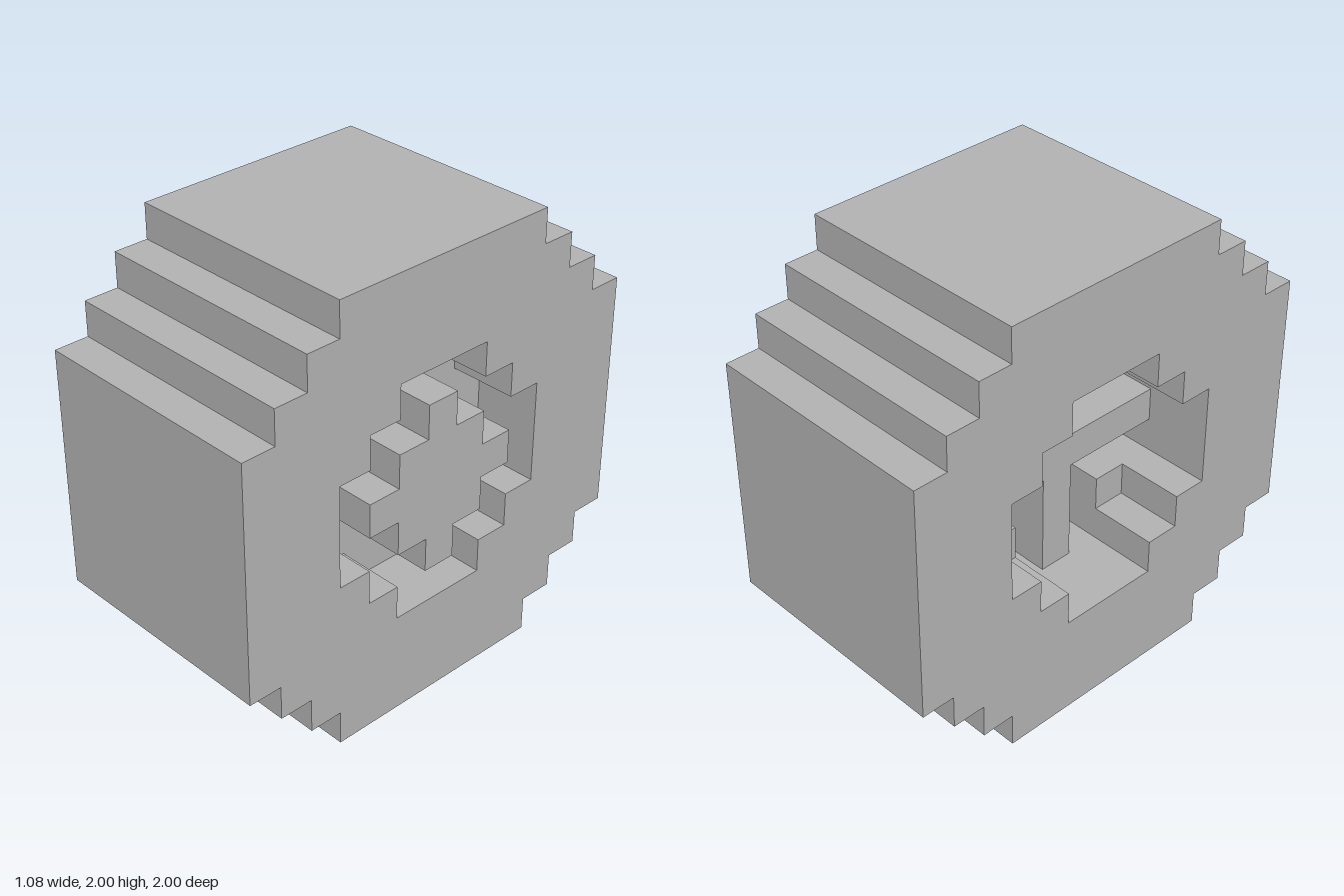
import * as THREE from 'three';

const U = 2 / 13; // one block

// Mirrors one stepped quadrant, given in blocks, into a closed outline
function outline(quadrant) {
  const back = [...quadrant].reverse();
  const points = [
    ...quadrant,
    ...back.map(([a, b]) => [-a, b]),
    ...quadrant.map(([a, b]) => [-a, -b]),
    ...back.map(([a, b]) => [a, -b]),
  ];
  return points.map(([a, b]) => new THREE.Vector2(a * U, b * U));
}

export function createModel() {
  const group = new THREE.Group();
  const grey = new THREE.MeshStandardMaterial({ color: 0xb3b3b3 });
  grey.name = 'grey';

  const tyreEdge = outline([[6.5, 3.5], [5.5, 3.5], [5.5, 4.5], [4.5, 4.5], [4.5, 5.5], [3.5, 5.5], [3.5, 6.5]]);
  const bore = outline([[3.5, 1.5], [2.5, 1.5], [2.5, 2.5], [1.5, 2.5], [1.5, 3.5]]);
  const hubEdge = outline([[2.5, 0.5], [1.5, 0.5], [1.5, 1.5], [0.5, 1.5], [0.5, 2.5]]);

  // Extrudes an outline along x between two positions in blocks
  function slab(name, points, from, to, hole) {
    const shape = new THREE.Shape(points);
    if (hole) shape.holes.push(new THREE.Path(hole));
    const geometry = new THREE.ExtrudeGeometry(shape, { depth: (to - from) * U, bevelEnabled: false });
    geometry.rotateY(Math.PI / 2);
    geometry.translate(from * U, 1, 0);
    const mesh = new THREE.Mesh(geometry, grey);
    mesh.name = name;
    group.add(mesh);
  }

  function block(name, w, h, d, x, y, z) {
    const mesh = new THREE.Mesh(new THREE.BoxGeometry(w * U, h * U, d * U), grey);
    mesh.name = name;
    mesh.position.set(x * U, 1 + y * U, z * U);
    group.add(mesh);
  }

  // Stepped tyre, inner wall and raised hub on the left
  slab('tyre', tyreEdge, -3.5, 3.5, bore);
  slab('wheelWall', bore, 0.5, 1.5);
  slab('hub', hubEdge, 1.5, 3.5);

  // Recessed cross and corner blocks on the right
  block('uprightSpoke', 2, 7, 1, -0.5, 0, 0);
  for (const s of [-1, 1]) {
    block('crossSpoke', 2, 1, 3, -0.5, 0, 2 * s);
    for (const t of [-1, 1]) block('cornerBlock', 2, 1, 1, -0.5, 2 * s, 2 * t);
  }

  return group;
}
